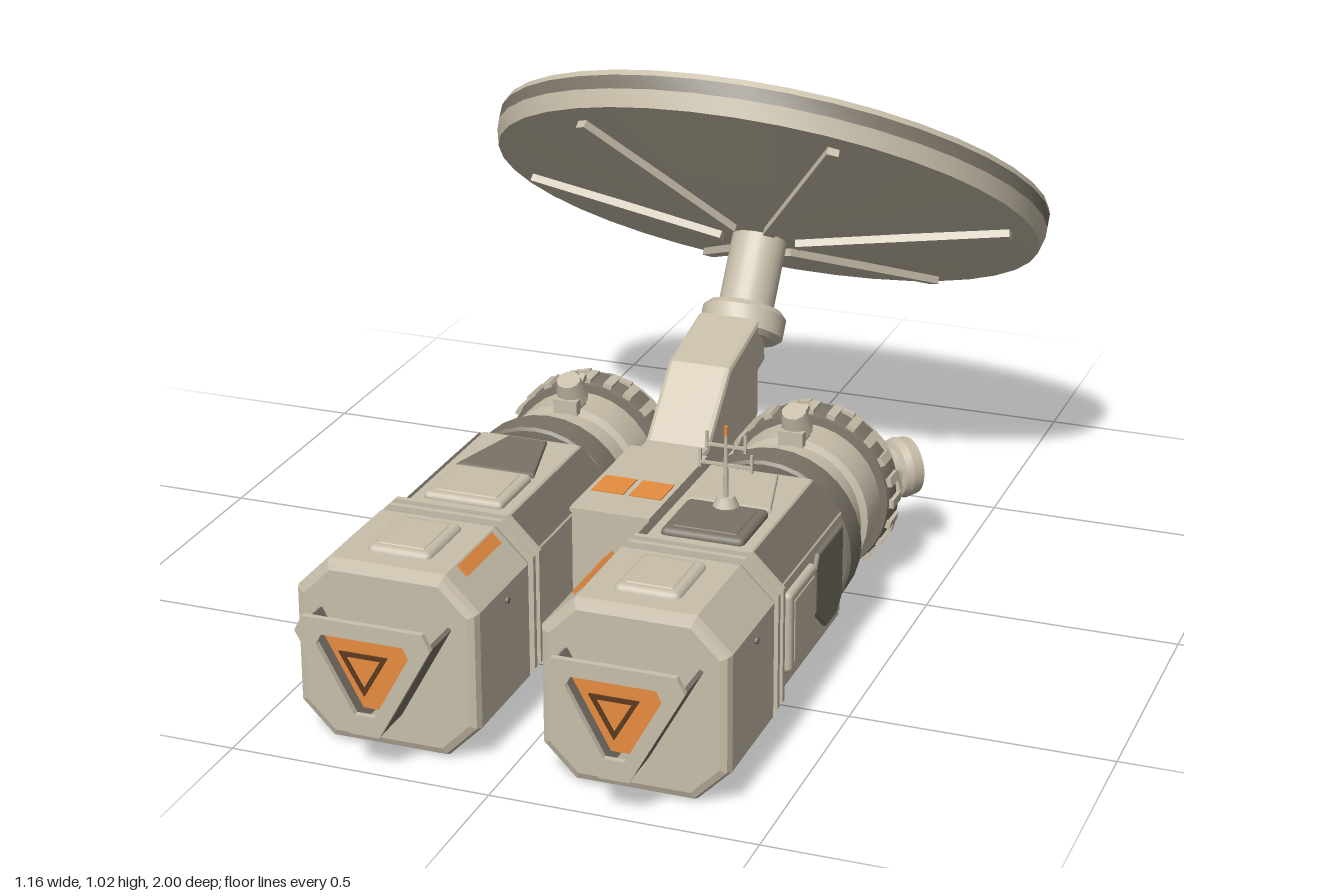
import * as THREE from 'three';
import { toCreasedNormals } from 'three/addons/utils/BufferGeometryUtils.js';
import { RoundedBoxGeometry } from 'three/addons/geometries/RoundedBoxGeometry.js';

const paint = (name, color) => {
  const m = new THREE.MeshStandardMaterial({ color });
  m.name = name;
  return m;
};
const hull = paint('warmGreyHull', 0xc8beaa);
const dark = paint('darkGreyPanels', 0x7a7367);
const orange = paint('orangeMarkings', 0xe68c40);
const brown = paint('darkBrownTrim', 0x5c3a1e);

function add(parent, name, geo, mat, x = 0, y = 0, z = 0) {
  const m = new THREE.Mesh(geo, mat);
  m.name = name;
  m.position.set(x, y, z);
  parent.add(m);
  return m;
}
const box = (w, h, d) => new THREE.BoxGeometry(w, h, d);
const shapeOf = pts => new THREE.Shape(pts.map(p => new THREE.Vector2(p[0], p[1])));

// Extrusion along z from z0 to z1, with an optional bevel kept inside the outline
function prism(shape, z0, z1, bevel = 0) {
  const g = new THREE.ExtrudeGeometry(shape, {
    depth: z1 - z0 - 2 * bevel, bevelEnabled: bevel > 0, bevelSegments: 2,
    bevelThickness: bevel, bevelSize: bevel, bevelOffset: -bevel,
  });
  return g.translate(0, 0, z0 + bevel);
}

function octagon(h, c) {
  const k = h - c;
  return shapeOf([[k, -h], [h, -k], [h, k], [k, h], [-k, h], [-h, k], [-h, -k], [-k, -h]]);
}

const lathe = (pts, n = 32, start = 0, sweep = Math.PI * 2) => toCreasedNormals(
  new THREE.LatheGeometry(pts.map(p => new THREE.Vector2(p[0], p[1])), n, start, sweep), 0.4);
// Profile given as [radius, z], running towards the back
const zLathe = pts => lathe(pts.map(([r, z]) => [r, -z])).rotateX(-Math.PI / 2);

// Rectangular bar between two points; h is its size along the parent's up axis
function bar(parent, name, a, b, w, h, mat) {
  const p = new THREE.Vector3(...a), q = new THREE.Vector3(...b);
  const m = add(parent, name, box(w, h, p.distanceTo(q)), mat);
  m.position.copy(p).lerp(q, 0.5);
  m.quaternion.setFromRotationMatrix(new THREE.Matrix4().lookAt(p, q, new THREE.Vector3(0, 1, 0)));
}

// Truncated triangle pointing down, scaled about its centre
const tri = s => [[-0.028, -0.105], [0.028, -0.105], [0.13, 0.08], [0.115, 0.11], [-0.115, 0.11], [-0.13, 0.08]]
  .map(([x, y]) => [x * s, 0.015 + (y - 0.015) * s]);

function beacon(pod) {
  const g = new THREE.Group();
  g.name = 'frontBeacon';
  pod.add(g);
  const frame = shapeOf(tri(1));
  frame.holes.push(new THREE.Path(tri(0.68).reverse().map(p => new THREE.Vector2(...p))));
  add(g, 'beaconFrame', prism(frame, 0.988, 1), hull);
  add(g, 'beaconPanel', prism(shapeOf(tri(0.72)), 0.958, 0.96), orange);
  for (const s of [-1, 1]) {
    const wall = add(g, 'beaconWall', box(0.21, 0.008, 0.092), dark, s * 0.075, -0.01, 0.944);
    wall.rotation.z = s * 1.067;
  }
  // Flared three-sided lamp with a dark outline
  const lamp = new THREE.CylinderGeometry(0.054, 0.03, 0.035, 3).rotateX(Math.PI / 2);
  add(g, 'beaconLamp', toCreasedNormals(lamp, 0.4), orange, 0, 0.025, 0.9775);
  const corners = r => [0, 1, 2].map(i => {
    const a = -Math.PI / 2 + i * Math.PI * 2 / 3;
    return new THREE.Vector2(Math.cos(a) * r, 0.025 + Math.sin(a) * r);
  });
  const rim = new THREE.Shape(corners(0.054));
  rim.holes.push(new THREE.Path(corners(0.038).reverse()));
  add(g, 'beaconLampTrim', prism(rim, 0.994, 0.998), brown);
}

// Raised panels for one face, built facing up
function facePanels(pod, angle, outline, panelMat, padMat) {
  const g = new THREE.Group();
  g.name = 'facePanels';
  g.rotation.z = angle;
  pod.add(g);
  add(g, 'shapedPanel', prism(shapeOf(outline), 0, 0.012, 0.004).rotateX(-Math.PI / 2), panelMat, 0, 0.157, 0);
  add(g, 'hatchPad', new RoundedBoxGeometry(0.16, 0.024, 0.15, 2, 0.011), padMat, 0, 0.161, 0.49);
  add(g, 'hatchInset', new RoundedBoxGeometry(0.125, 0.008, 0.115, 2, 0.003), padMat, 0, 0.171, 0.49);
}

function makePod(s) {
  const pod = new THREE.Group();
  pod.name = s > 0 ? 'leftPod' : 'rightPod';
  pod.position.set(s * 0.235, 0.18, 0);

  // Octagonal nose and body
  add(pod, 'noseBlock', prism(octagon(0.176, 0.064), 0.652, 0.905, 0.018), hull);
  add(pod, 'neck', prism(octagon(0.15, 0.055), 0.59, 0.66), dark);
  for (const z of [0.602, 0.63]) add(pod, 'neckFlange', prism(octagon(0.174, 0.062), z, z + 0.011), hull);
  add(pod, 'midBody', prism(octagon(0.16, 0.06), 0.225, 0.596, 0.008), hull);
  for (let i = 0; i < 4; i++) {
    const a = Math.PI / 4 + i * Math.PI / 2, r = 0.1845;
    const m = add(pod, 'darkChamfer', box(0.076, 0.008, 0.345), dark, Math.cos(a) * r, Math.sin(a) * r, 0.41);
    m.rotation.z = a - Math.PI / 2;
  }
  add(pod, 'darkBelly', box(0.2, 0.008, 0.345), dark, 0, -0.16, 0.41);
  // Tapered panel on top, clipped one on the outer side
  facePanels(pod, 0, [[-0.08, -0.41], [0.08, -0.41], [0.04, -0.25], [-0.04, -0.25]],
    s > 0 ? hull : dark, s > 0 ? dark : hull);
  const clipped = [[0.085, -0.39], [0.085, -0.245], [-0.06, -0.245], [-0.085, -0.28], [-0.085, -0.34],
    [-0.03, -0.405], [0.06, -0.405]];
  facePanels(pod, -s * Math.PI / 2, clipped.map(([x, y]) => [-s * x, y]), dark, hull);
  add(pod, 'nosePad', new RoundedBoxGeometry(0.125, 0.03, 0.15, 2, 0.014), hull, 0, 0.172, 0.77);
  add(pod, 'nosePadInset', new RoundedBoxGeometry(0.09, 0.01, 0.115, 2, 0.004), hull, 0, 0.184, 0.77);
  const strip = add(pod, 'orangeStrip', box(0.026, 0.012, 0.145), orange, -s * 0.124, 0.165, 0.77);
  strip.rotation.z = s * Math.PI / 4;
  for (const x of [-1, 1]) {
    const peg = add(pod, 'nosePeg', new THREE.CylinderGeometry(0.006, 0.006, 0.01, 8), dark, x * 0.176, 0.085, 0.77);
    peg.rotation.z = Math.PI / 2;
  }
  beacon(pod);

  // Round engine section
  add(pod, 'darkCollar', zLathe([[0, 0.215], [0.168, 0.215], [0.174, 0.21], [0.174, 0.145], [0.168, 0.14], [0, 0.14]]), dark);
  add(pod, 'collarJoint', zLathe([[0.15, 0.23], [0.15, 0.21]]), hull);
  add(pod, 'engineBarrel', zLathe([[0.148, 0.15], [0.148, 0.065], [0.14, 0.06], [0.14, 0.045], [0.154, 0.04],
    [0.154, -0.04], [0.145, -0.05]]), hull);
  add(pod, 'toothRing', zLathe([[0.13, -0.045], [0.166, -0.05], [0.17, -0.06], [0.17, -0.115], [0.155, -0.125]]), dark);
  add(pod, 'engineDome', zLathe([[0.162, -0.12], [0.16, -0.14], [0.135, -0.175], [0.1, -0.207], [0.085, -0.213], [0, -0.213]]), hull);
  for (let i = 0; i < 24; i++) {
    const tooth = new THREE.Group();
    tooth.name = 'ringTooth';
    tooth.rotation.z = i * Math.PI / 12;
    add(tooth, 'toothBar', box(0.018, 0.014, 0.05), hull, 0, 0.17, -0.08);
    if (i % 2) add(tooth, 'toothLink', box(0.04, 0.012, 0.014), hull, 0.015, 0.169, -0.105);
    pod.add(tooth);
  }
  // Flat ports on the dome end and its slopes
  const port = new THREE.CylinderGeometry(0.025, 0.028, 0.012, 16);
  add(pod, 'endPort', port, dark, 0, 0, -0.215).rotation.x = -Math.PI / 2;
  for (let i = 0; i < 3; i++) {
    const mount = new THREE.Group();
    mount.name = 'domePort';
    mount.rotation.z = s * i * Math.PI / 2;
    add(mount, 'portDisc', port, dark, 0, 0.124, -0.188).rotation.x = -0.75;
    pod.add(mount);
  }
  // Nozzle angled outwards from the dome
  const nozzle = new THREE.Group();
  nozzle.name = 'sideNozzle';
  nozzle.position.set(0, 0, -0.095);
  nozzle.rotation.y = -s * 0.75;
  add(nozzle, 'nozzleBell', zLathe([[0.075, -0.1], [0.075, -0.142], [0.048, -0.152], [0.048, -0.175], [0.058, -0.18],
    [0.062, -0.196], [0.058, -0.22], [0.046, -0.22], [0.04, -0.195], [0, -0.195]]), hull);
  add(nozzle, 'nozzlePlug', zLathe([[0.024, -0.195], [0.018, -0.212], [0, -0.214]]), dark);
  pod.add(nozzle);

  // Small thruster knob on top
  add(pod, 'thrusterBase', box(0.05, 0.03, 0.05), hull, 0, 0.158, 0.035);
  const knob = add(pod, 'thrusterKnob', new THREE.CylinderGeometry(0.024, 0.032, 0.05, 12), hull, 0, 0.187, 0.03);
  knob.rotation.x = 0.4;
  bar(pod, 'thrusterPipe', [0, 0.165, 0.015], [0, 0.19, -0.04], 0.012, 0.012, hull);
  return pod;
}

// Aerial on the left pod
function makeAerial() {
  const g = new THREE.Group();
  g.name = 'aerial';
  g.position.set(0.235, 0, 0.432);
  add(g, 'aerialBase', new THREE.CylinderGeometry(0.016, 0.026, 0.022, 12), hull, 0, 0.362, 0);
  add(g, 'aerialMast', new THREE.CylinderGeometry(0.003, 0.006, 0.145, 8), hull, 0, 0.435, 0);
  add(g, 'aerialTip', new THREE.CylinderGeometry(0.004, 0.004, 0.018, 8), orange, 0, 0.502, 0);
  for (const [y, w] of [[0.435, 0.1], [0.472, 0.075]]) {
    add(g, 'aerialCrossbar', box(w, 0.005, 0.005), hull, 0, y, 0);
    for (const s of [-1, 1]) add(g, 'aerialProng', box(0.005, 0.035, 0.005), hull, s * w / 2, y + 0.008, 0);
  }
  return g;
}

// Tilted dish with ribs, hub and stem, built facing up
function makeDish() {
  const g = new THREE.Group();
  g.name = 'dish';
  g.position.set(0, 0.69, -0.525);
  g.rotation.x = -0.608;
  add(g, 'dishShell', lathe([[0, -0.16], [0.06, -0.16], [0.3, -0.118], [0.565, -0.074]], 40), hull);
  add(g, 'dishRimLower', lathe([[0.56, -0.075], [0.568, -0.075], [0.578, -0.04]], 40), hull);
  add(g, 'dishRimBand', lathe([[0.578, -0.04], [0.578, -0.012]], 40), dark);
  add(g, 'dishRimLip', lathe([[0.578, -0.012], [0.574, 0], [0.558, 0], [0.55, -0.03]], 40), hull);
  // Bowl in two halves, the front one slightly raised
  add(g, 'rearBowl', lathe([[0.552, -0.028], [0.4, -0.06], [0.2, -0.09], [0, -0.1]], 20, Math.PI / 2, Math.PI), hull);
  add(g, 'frontBowl', lathe([[0.56, -0.008], [0.4, -0.04], [0.2, -0.075], [0, -0.09]], 20, -Math.PI / 2, Math.PI), hull);
  add(g, 'hub', lathe([[0.088, -0.11], [0.088, -0.06], [0.075, -0.03], [0.045, 0.01], [0.015, 0.026], [0, 0.028]], 24), hull);
  for (let i = 0; i < 6; i++) {
    const a = i * Math.PI / 3, c = Math.cos(a), d = Math.sin(a);
    bar(g, 'underRib', [c * 0.08, -0.16, d * 0.08], [c * 0.52, -0.085, d * 0.52], 0.024, 0.024, hull);
    // Inner ribs on the sides and the rear
    if (d < 0.1) {
      const r = d < -0.1 ? 0.48 : 0.35;
      bar(g, 'innerRib', [c * 0.07, -0.075, d * 0.07], [c * r, -0.05 + (r - 0.35) * 0.2, d * r], 0.034, 0.04, dark);
    }
  }
  add(g, 'stem', new THREE.CylinderGeometry(0.057, 0.057, 0.18, 24), hull, 0, -0.245, 0);
  add(g, 'stemCollar', lathe([[0, -0.372], [0.075, -0.372], [0.087, -0.362], [0.087, -0.32], [0.075, -0.308], [0, -0.308]], 24), hull);
  return g;
}

export function createModel() {
  const model = new THREE.Group();
  model.name = 'twinPodRelayCraft';
  for (const s of [-1, 1]) model.add(makePod(s));

  // Spine joining the pods, with orange squares on top
  add(model, 'spine', box(0.16, 0.217, 0.32), hull, 0, 0.1885, 0.26);
  add(model, 'spineKeel', box(0.08, 0.012, 0.2), dark, 0, 0.078, 0.26);
  for (const s of [-1, 1]) add(model, 'orangeSquare', box(0.064, 0.004, 0.075), orange, s * 0.038, 0.297, 0.295);

  // Bent arm rising to the dish stem
  const side = shapeOf([[-0.13, 0.1], [0.02, 0.1], [0.245, 0.25], [0.245, 0.455], [0.07, 0.415], [-0.06, 0.295], [-0.13, 0.295]]);
  add(model, 'arm', prism(side, -0.066, 0.066, 0.01).rotateY(Math.PI / 2), hull);
  bar(model, 'armHead', [0, 0.375, -0.2], [0, 0.395, -0.3], 0.11, 0.1, hull);

  model.add(makeAerial(), makeDish());
  return model;
}
